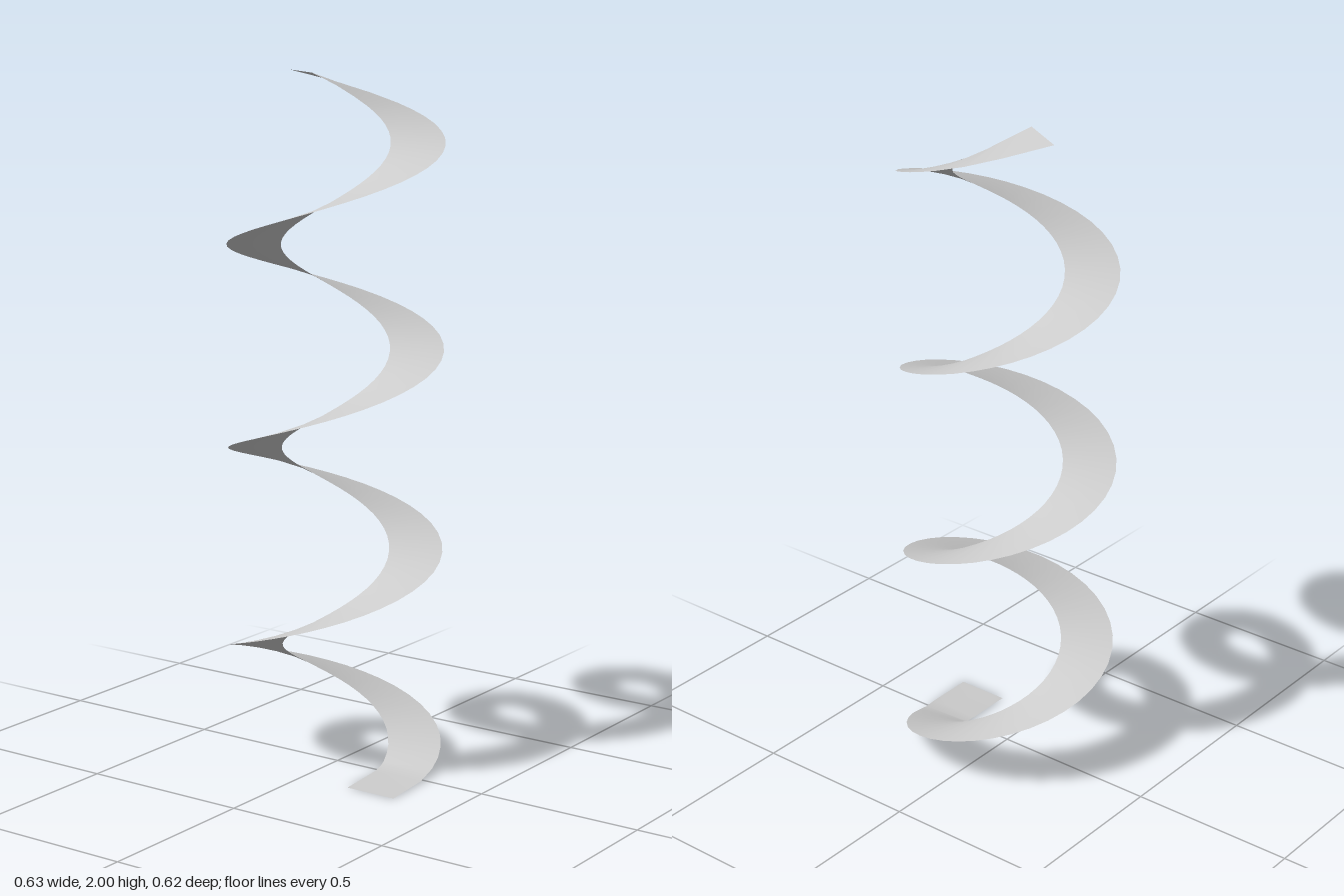
import * as THREE from 'three';

const INNER = 0.155, OUTER = 0.309, CENTRE_X = -0.007;
const PITCH = 0.586, BASE = 0.003;

// One cross-section of the ribbon: a level radial line at a given angle (degrees)
function section(deg, y = BASE + PITCH * deg / 360, inner = INNER, outer = OUTER) {
  const a = THREE.MathUtils.degToRad(deg), c = Math.cos(a), s = -Math.sin(a);
  return [
    [CENTRE_X + inner * c, y, inner * s],
    [CENTRE_X + outer * c, y, outer * s],
  ];
}

// Open strip through a list of inner/outer point pairs, facing up
function stripGeometry(sections) {
  const index = [];
  for (let i = 0; i < sections.length - 1; i++) {
    const a = 2 * i;
    index.push(a, a + 1, a + 2, a + 1, a + 3, a + 2);
  }
  const geometry = new THREE.BufferGeometry();
  geometry.setAttribute('position', new THREE.Float32BufferAttribute(sections.flat(2), 3));
  geometry.setIndex(index);
  geometry.computeVertexNormals();
  return geometry;
}

export function createModel() {
  const sections = [
    // straight, almost level lead-in at the foot
    [[0.16, 0, 0.177], [0.318, 0, 0.177]],
    [[0.153, 0.006, 0.027], [0.311, 0.006, 0.027]],
    section(4, 0.012),
  ];
  // regular turns
  for (let deg = 10; deg <= 1170; deg += 10) sections.push(section(deg));
  // coarser, slightly flared upper end
  sections.push(section(1186), section(1205.5), section(1229.6, 2, 0.164, 0.326));

  const ribbon = new THREE.Mesh(
    stripGeometry(sections),
    new THREE.MeshStandardMaterial({ color: 0xcccccc, side: THREE.DoubleSide }),
  );
  ribbon.name = 'spiralRibbon';

  const group = new THREE.Group();
  group.name = 'spiral';
  group.add(ribbon);
  return group;
}
